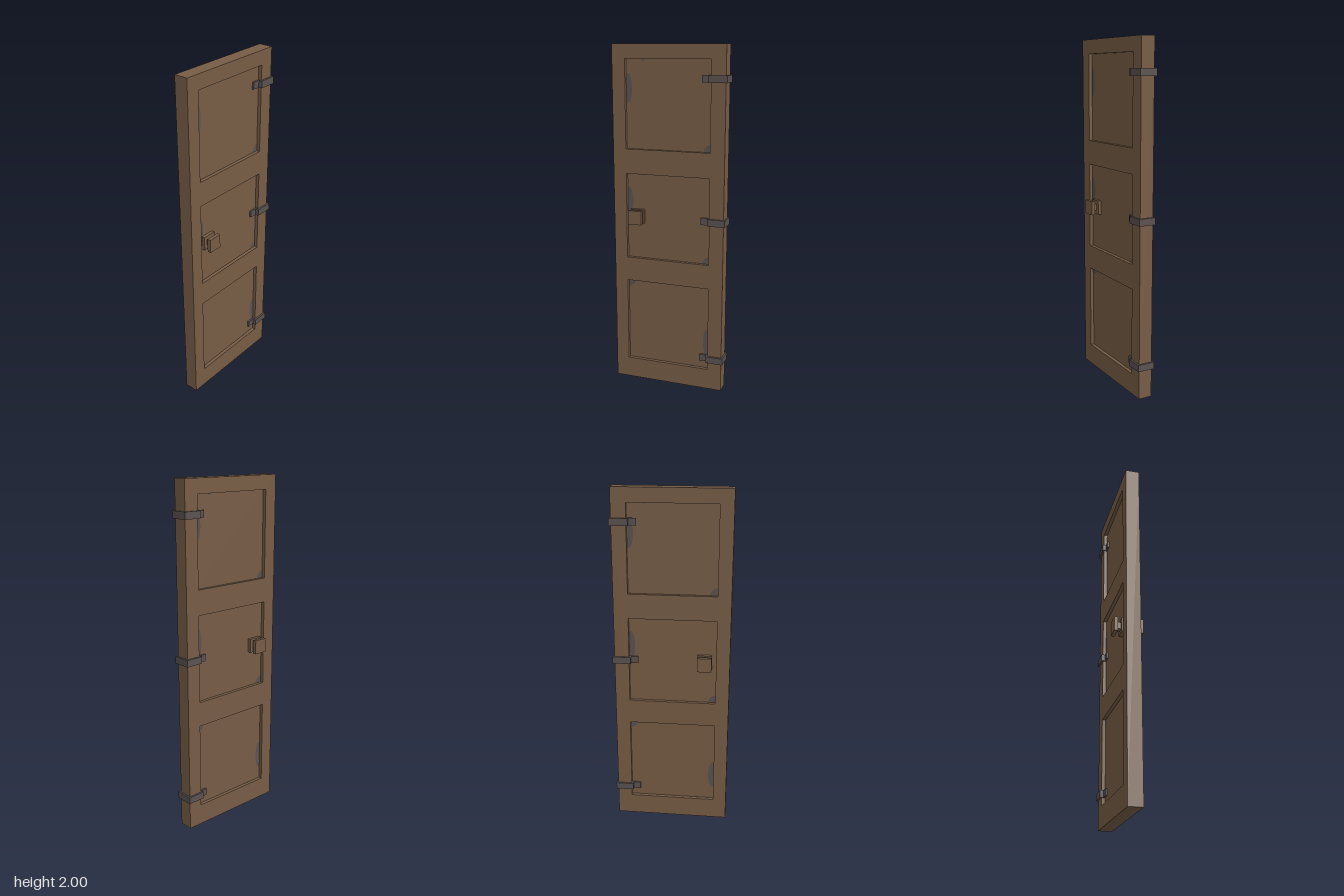
import * as THREE from 'three';

const wood = new THREE.MeshStandardMaterial({ color: 0x775d46 });
wood.name = 'brown wood';
const iron = new THREE.MeshStandardMaterial({ color: 0x5a5250 });
iron.name = 'dark iron';

const HALF_T = 0.0405; // half thickness of the frame
const PANEL_Z = 0.02; // half thickness of the sunken panels
const LEFT = -0.338, RIGHT = 0.327;
const PANEL_X = -0.0085, HALF_P = 0.2515;
const PANEL_Y = [1.667, 1.021, 0.375];

// Box given by its lower and upper corner
function box(name, material, [x0, y0, z0], [x1, y1, z1]) {
  const mesh = new THREE.Mesh(new THREE.BoxGeometry(x1 - x0, y1 - y0, z1 - z0), material);
  mesh.position.set((x0 + x1) / 2, (y0 + y1) / 2, (z0 + z1) / 2);
  mesh.name = name;
  return mesh;
}

function rectangle(path, x0, y0, x1, y1) {
  return path.moveTo(x0, y0).lineTo(x1, y0).lineTo(x1, y1).lineTo(x0, y1).closePath();
}

// Frame with three square openings
function makeFrame() {
  const shape = rectangle(new THREE.Shape(), LEFT, 0, RIGHT, 2);
  for (const y of PANEL_Y) {
    shape.holes.push(rectangle(new THREE.Path(),
      PANEL_X - HALF_P, y - HALF_P, PANEL_X + HALF_P, y + HALF_P));
  }
  const geometry = new THREE.ExtrudeGeometry(shape, { depth: 2 * HALF_T, bevelEnabled: false });
  geometry.translate(0, 0, -HALF_T);
  const mesh = new THREE.Mesh(geometry, wood);
  mesh.name = 'frame';
  return mesh;
}

// Worn patches along the edges of one panel face
function makePatches() {
  const group = new THREE.Group();
  group.name = 'wornPatches';
  const h = HALF_P;
  const edge = new THREE.Shape();
  edge.moveTo(-h, h - 0.25).lineTo(-h + 0.022, h - 0.238);
  edge.quadraticCurveTo(-h + 0.036, h - 0.2, -h + 0.034, h - 0.15);
  edge.quadraticCurveTo(-h + 0.03, h - 0.09, -h + 0.012, h - 0.078);
  edge.lineTo(-h, h - 0.082).closePath();
  const corner = new THREE.Shape();
  corner.moveTo(h, -h).lineTo(h, -h + 0.045);
  corner.quadraticCurveTo(h - 0.038, -h + 0.038, h - 0.045, -h).closePath();
  const chip = new THREE.Shape();
  chip.moveTo(-0.165, h).lineTo(-0.15, h - 0.012).lineTo(-0.135, h).closePath();
  for (const [name, shape] of Object.entries({ edgePatch: edge, cornerPatch: corner, chipPatch: chip })) {
    const mesh = new THREE.Mesh(new THREE.ShapeGeometry(shape, 8), iron);
    mesh.name = name;
    group.add(mesh);
  }
  return group;
}

// Strap wrapped around the hinge edge, stepping down into the recess on both faces
function makeHinge(y) {
  const group = new THREE.Group();
  group.name = 'hinge';
  const y0 = y - 0.02, y1 = y + 0.02, out = 0.0515;
  for (const s of [-1, 1]) {
    const part = (name, x0, x1, za, zb) => group.add(box(name, iron,
      [x0, y0, Math.min(s * za, s * zb)], [x1, y1, Math.max(s * za, s * zb)]));
    part('hingeTab', 0.19, 0.233, PANEL_Z, 0.0305);
    part('hingeStep', 0.233, 0.243, PANEL_Z, out);
    part('hingeArm', 0.243, RIGHT, HALF_T, out);
  }
  group.add(box('hingeWrap', iron, [RIGHT, y0, -out], [0.337, y1, out]));
  return group;
}

// Square knob: base plate, stem and grip
function makeKnob(side) {
  const group = new THREE.Group();
  group.name = side > 0 ? 'frontKnob' : 'backKnob';
  const layer = (name, half, z0, z1) => group.add(box(name, wood,
    [-half, -half, Math.min(side * z0, side * z1)], [half, half, Math.max(side * z0, side * z1)]));
  layer('knobBase', 0.041, PANEL_Z, 0.04);
  layer('knobStem', 0.02, 0.04, 0.062);
  layer('knobGrip', 0.041, 0.062, 0.083);
  group.position.set(-0.194, 1.023, 0);
  return group;
}

export function createModel() {
  const door = new THREE.Group();
  door.name = 'door';
  door.add(makeFrame());

  PANEL_Y.forEach((y, i) => {
    door.add(box('panel', wood,
      [PANEL_X - HALF_P, y - HALF_P, -PANEL_Z], [PANEL_X + HALF_P, y + HALF_P, PANEL_Z]));
    // The lowest panel is turned upside down
    for (const back of [0, 1]) {
      const patches = makePatches();
      patches.position.set(PANEL_X, y, (back ? -1 : 1) * (PANEL_Z + 0.001));
      patches.rotation.set(0, back * Math.PI, i === 2 ? Math.PI : 0);
      door.add(patches);
    }
  });

  for (const y of [1.815, 1.022, 0.189]) door.add(makeHinge(y));
  for (const side of [1, -1]) door.add(makeKnob(side));
  return door;
}
